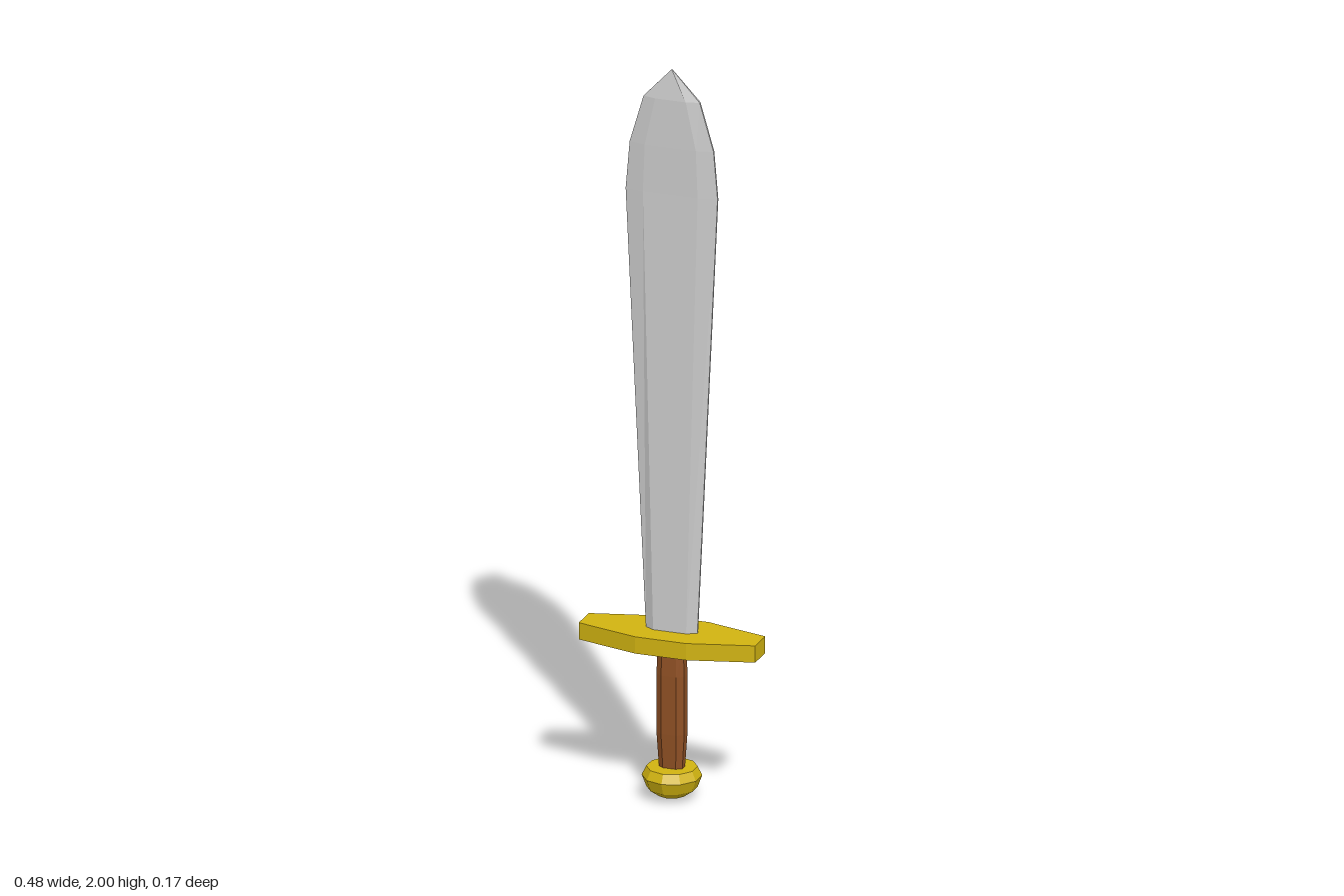
import * as THREE from 'three';

const steel = new THREE.MeshStandardMaterial({ color: 0xcccccc, flatShading: true });
const gold = new THREE.MeshStandardMaterial({ color: 0xd2b411, flatShading: true });
const leather = new THREE.MeshStandardMaterial({ color: 0x8f5024, flatShading: true });

// Skin a stack of rings ({ y, pts: [[x, z], ...] }, counter-clockwise from above) and cap both ends
function loft(rings) {
  const n = rings[0].pts.length;
  const pos = [], index = [];
  for (const { y, pts } of rings) for (const [x, z] of pts) pos.push(x, y, z);
  for (let i = 0; i < rings.length - 1; i++) {
    for (let j = 0; j < n; j++) {
      const a = i * n + j, b = i * n + (j + 1) % n;
      index.push(a, b, b + n, a, b + n, a + n);
    }
  }
  const last = (rings.length - 1) * n;
  for (let j = 1; j < n - 1; j++) {
    index.push(0, j + 1, j, last, last + j, last + j + 1);
  }
  const geo = new THREE.BufferGeometry();
  geo.setAttribute('position', new THREE.Float32BufferAttribute(pos, 3));
  geo.setIndex(index);
  const flat = geo.toNonIndexed();
  flat.computeVertexNormals();
  return flat;
}

// Blade section: flat faces with a centre line, bevelled to thin edges
function bladeRing([y, w, f, t, e]) {
  return {
    y,
    pts: [[w, e], [w, -e], [f, -t], [0, -t], [-f, -t], [-w, -e], [-w, e], [-f, t], [0, t], [f, t]],
  };
}

// Grip section: rectangle with chamfered corners
function gripRing([y, w, d]) {
  const cx = w * 0.55, cz = d * 0.5;
  return {
    y,
    pts: [[w, cz], [w, -cz], [cx, -d], [-cx, -d], [-w, -cz], [-w, cz], [-cx, d], [cx, d]],
  };
}

export function createModel() {
  const group = new THREE.Group();
  const add = (name, geometry, material) => {
    const mesh = new THREE.Mesh(geometry, material);
    mesh.name = name;
    group.add(mesh);
    return mesh;
  };

  // Leaf-shaped blade: height, half width, half flat, half thickness, half edge
  add('blade', loft([
    [0.45, 0.07, 0.045, 0.018, 0.003],
    [1.66, 0.126, 0.075, 0.013, 0.003],
    [1.79, 0.115, 0.07, 0.013, 0.003],
    [1.92, 0.077, 0.042, 0.012, 0.003],
    [2.0, 0.002, 0.001, 0.002, 0.001],
  ].map(bladeRing)), steel);

  // Crossguard: flat plate tapering towards both ends
  const plate = new THREE.Shape([
    [0.242, -0.037], [0.242, 0.037], [0.07, 0.083], [-0.07, 0.083],
    [-0.242, 0.037], [-0.242, -0.037], [-0.07, -0.083], [0.07, -0.083],
  ].map(([x, z]) => new THREE.Vector2(x, z)));
  const guard = new THREE.ExtrudeGeometry(plate, { depth: 0.046, bevelEnabled: false });
  guard.rotateX(-Math.PI / 2);
  guard.translate(0, 0.415, 0);
  add('crossguard', guard, gold);

  // Grip: height, half width, half depth
  add('grip', loft([
    [0.07, 0.031, 0.02],
    [0.18, 0.038, 0.025],
    [0.34, 0.038, 0.025],
    [0.42, 0.035, 0.022],
  ].map(gripRing)), leather);

  // Faceted pommel
  const profile = [
    [0, 0.005], [0.038, 0.01], [0.066, 0.03], [0.078, 0.062], [0.066, 0.086], [0, 0.086],
  ].map(([r, y]) => new THREE.Vector2(r, y < 0.01 ? 0 : y));
  add('pommel', new THREE.LatheGeometry(profile, 10), gold);

  return group;
}
